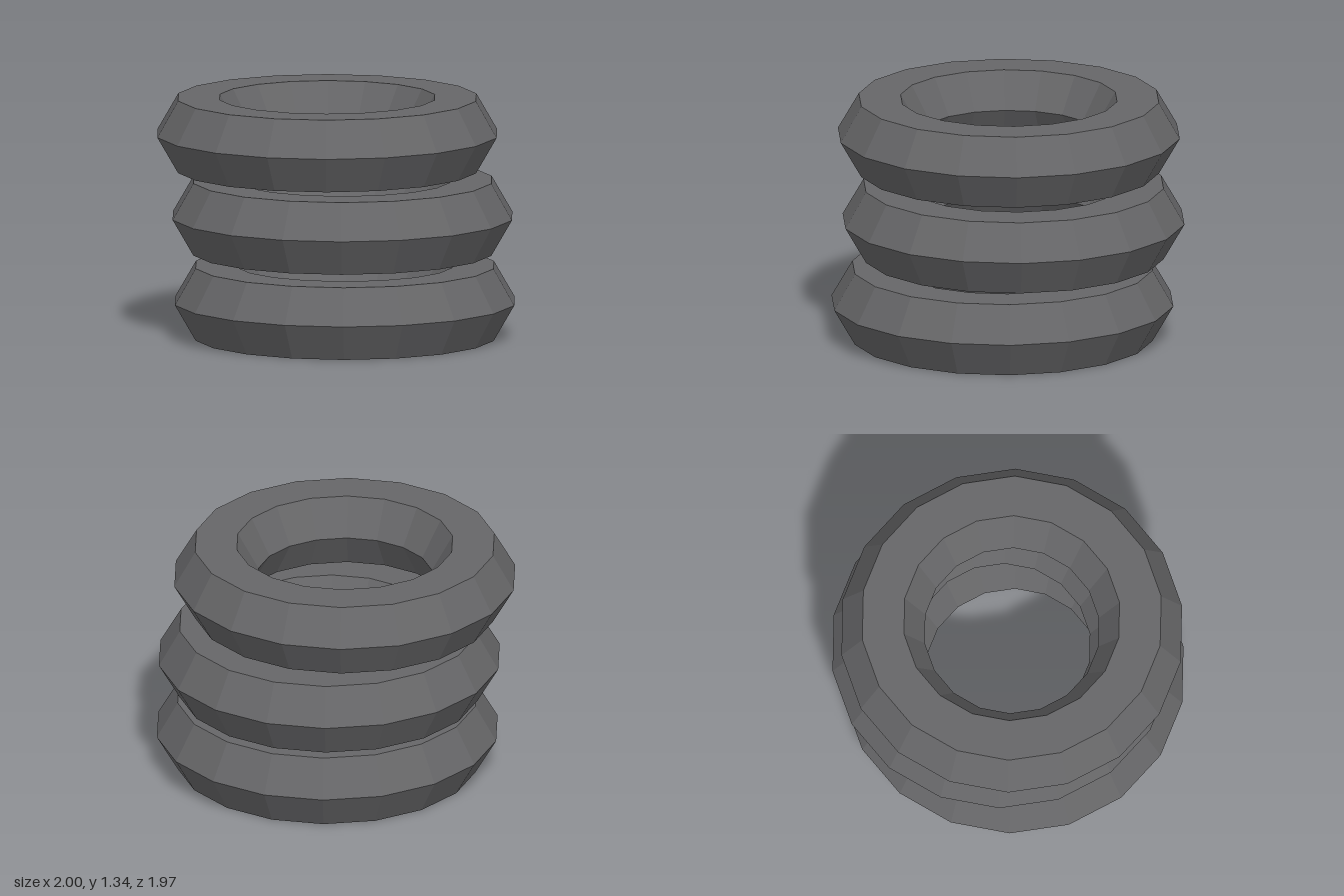
import * as THREE from 'three';

export function createModel() {
  const model = new THREE.Group();
  model.name = 'ringStack';

  const darkRubber = new THREE.MeshStandardMaterial({ color: 0x666668, flatShading: true });
  darkRubber.name = 'darkRubber';

  // Hexagonal-section ring with 18 sides, lying flat
  const ringShape = new THREE.TorusGeometry(0.723, 0.234, 6, 18).rotateX(-Math.PI / 2);

  // Three rings, slightly offset from one another
  const rings = [
    ['bottomRing', 0.002, 0.203, 0.045],
    ['middleRing', 0.04, 0.672, -0.004],
    ['topRing', -0.043, 1.141, -0.045],
  ];
  for (const [name, x, y, z] of rings) {
    const ring = new THREE.Mesh(ringShape, darkRubber);
    ring.name = name;
    ring.position.set(x, y, z);
    model.add(ring);
  }
  return model;
}
